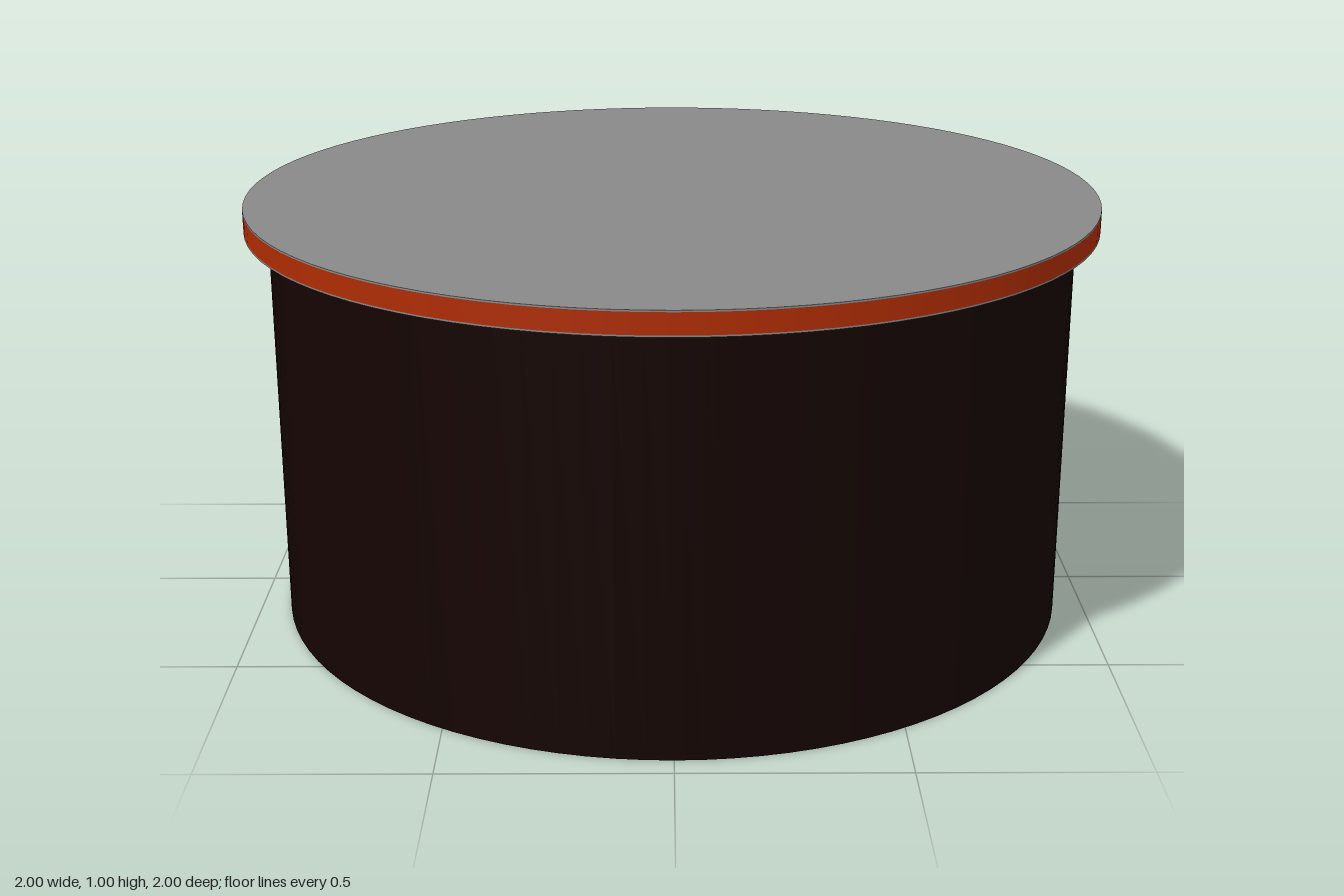
import * as THREE from 'three';

const SEGMENTS = 96;
const BODY_RADIUS = 0.945;
const RIM_BOTTOM = 0.945;
const EDGE = 0.004;

function material(color) {
  return new THREE.MeshStandardMaterial({ color, side: THREE.DoubleSide });
}

// Surface of revolution from [radius, height] pairs
function revolve(name, profile, mat) {
  const points = profile.map(([r, y]) => new THREE.Vector2(r, y));
  const mesh = new THREE.Mesh(new THREE.LatheGeometry(points, SEGMENTS), mat);
  mesh.name = name;
  return mesh;
}

export function createModel() {
  const group = new THREE.Group();
  group.name = 'liddedDrum';
  const grey = material(0x888888);
  const orange = material(0xae2c04);
  const brown = material(0x140402);

  // Thin tube, open at the bottom
  group.add(revolve('body', [[BODY_RADIUS, 0], [BODY_RADIUS, RIM_BOTTOM]], brown));

  // Hollow lid: coloured band between hairline grey edges
  const lid = new THREE.Group();
  lid.name = 'lid';
  lid.add(revolve('rimBand', [[1, RIM_BOTTOM + EDGE], [1, 1 - EDGE]], orange));
  lid.add(revolve('lowerEdge', [[1, RIM_BOTTOM], [1, RIM_BOTTOM + EDGE]], grey));
  lid.add(revolve('upperEdge', [[1, 1 - EDGE], [1, 1]], grey));
  lid.add(revolve('rimUnderside', [[BODY_RADIUS, RIM_BOTTOM], [1, RIM_BOTTOM]], grey));

  // Flat top
  const top = new THREE.Mesh(new THREE.CircleGeometry(1, SEGMENTS), grey);
  top.name = 'topDisc';
  top.rotation.x = -Math.PI / 2;
  top.position.y = 1;
  lid.add(top);

  group.add(lid);
  return group;
}
